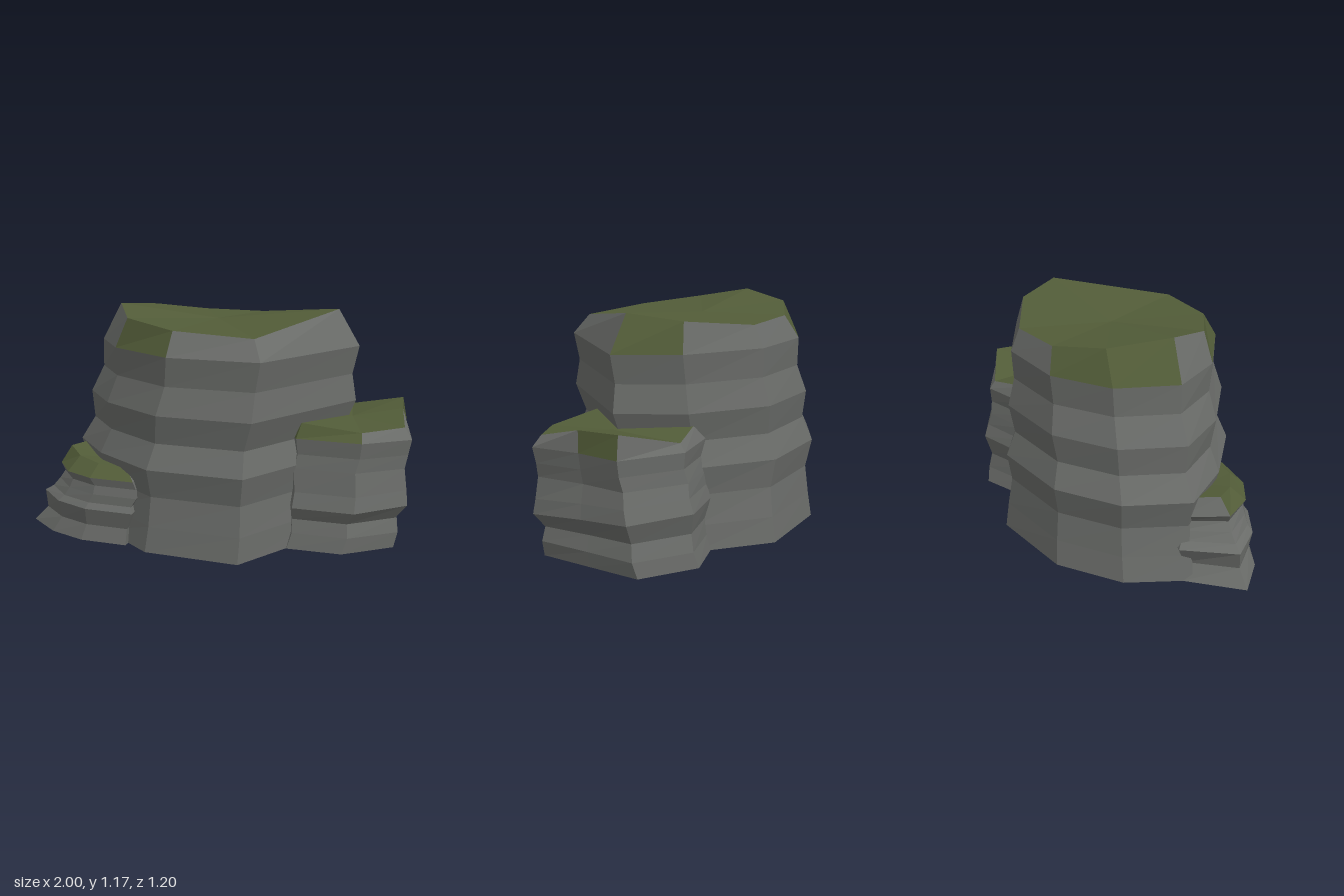
import * as THREE from 'three';

const stone = new THREE.MeshStandardMaterial({ color: 0x6a6c69, flatShading: true, roughness: 1 });
const moss = new THREE.MeshStandardMaterial({ color: 0x525c38, flatShading: true, roughness: 1 });

function meshFrom(name, positions, material) {
  const geometry = new THREE.BufferGeometry();
  geometry.setAttribute('position', new THREE.Float32BufferAttribute(positions.flat(), 3));
  geometry.computeVertexNormals();
  const mesh = new THREE.Mesh(geometry, material);
  mesh.name = name;
  return mesh;
}

// Layered rock: outlines run front, right, back, left.
// base and shoulder are [x, z]; rim is [x, y, z];
// strata are [height, bulge, sideways shift, rise towards the back].
function rock({ name, base, shoulder, rim, top, strata, mossy }) {
  const n = base.length;
  const mid = (list, k) => list.reduce((sum, p) => sum + p[k], 0) / n;
  const rings = strata.map(([y, bulge, shift = 0, rise = 0]) => {
    const t = y / top;
    const cx = THREE.MathUtils.lerp(mid(base, 0), mid(shoulder, 0), t);
    const cz = THREE.MathUtils.lerp(mid(base, 1), mid(shoulder, 1), t);
    return base.map(([x, z], i) => [
      cx + (THREE.MathUtils.lerp(x, shoulder[i][0], t) - cx) * bulge + shift,
      y - z * rise,
      cz + (THREE.MathUtils.lerp(z, shoulder[i][1], t) - cz) * bulge,
    ]);
  });
  rings.push(rim);

  const sides = [], green = [];
  for (let r = 0; r < rings.length - 1; r++) {
    for (let i = 0; i < n; i++) {
      const j = (i + 1) % n;
      const [a, b, c, d] = [rings[r][i], rings[r][j], rings[r + 1][j], rings[r + 1][i]];
      const target = r === rings.length - 2 && mossy.includes(i) ? green : sides;
      target.push(a, b, c, a, c, d);
    }
  }
  // Dished mossy top and flat underside
  const heart = [mid(rim, 0), mid(rim, 1) - 0.02, mid(rim, 2)];
  const foot = [mid(base, 0), 0, mid(base, 1)];
  for (let i = 0; i < n; i++) {
    const j = (i + 1) % n;
    green.push(heart, rim[i], rim[j]);
    sides.push(foot, rings[0][j], rings[0][i]);
  }
  const group = new THREE.Group();
  group.name = name;
  group.add(meshFrom(name + 'Strata', sides, stone), meshFrom(name + 'MossTop', green, moss));
  return group;
}

export function createModel() {
  const model = new THREE.Group();
  model.name = 'rockFormation';

  // Tall central rock
  model.add(rock({
    name: 'mainRock', top: 0.98, mossy: [2, 5, 6, 8],
    base: [[-0.24, 0.57], [0.25, 0.6], [0.65, -0.1], [0.41, -0.39], [0.05, -0.6],
      [-0.42, -0.49], [-0.7, -0.25], [-0.82, 0.07], [-0.57, 0.32]],
    shoulder: [[-0.13, 0.53], [0.34, 0.535], [0.69, -0.1], [0.47, -0.36], [0.07, -0.525],
      [-0.31, -0.46], [-0.57, -0.25], [-0.66, 0.06], [-0.48, 0.32]],
    rim: [[-0.12, 1.1, 0.46], [0.29, 1.08, 0.465], [0.58, 1.165, -0.1], [0.43, 1.13, -0.33], [0.08, 1.09, -0.475],
      [-0.24, 1.1, -0.42], [-0.47, 1.14, -0.24], [-0.55, 1.175, 0.07], [-0.42, 1.13, 0.3]],
    strata: [[0, 1], [0.13, 0.985], [0.28, 0.965, -0.01], [0.425, 1.03, -0.03], [0.55, 0.955, -0.02],
      [0.695, 1.02, -0.015], [0.835, 0.965], [0.98, 1]],
  }));

  // Mid-height rock on the left
  model.add(rock({
    name: 'leftRock', top: 0.56, mossy: [0, 3, 7],
    base: [[0.42, 0.31], [0.7, 0.31], [0.93, 0.13], [0.89, -0.15], [0.85, -0.42],
      [0.56, -0.54], [0.33, -0.42], [0.3, 0]],
    shoulder: [[0.45, 0.26], [0.78, 0.27], [1, 0.11], [0.93, -0.13], [0.91, -0.36],
      [0.6, -0.49], [0.32, -0.38], [0.3, 0]],
    rim: [[0.47, 0.635, 0.23], [0.77, 0.605, 0.23], [0.96, 0.615, 0.09], [0.92, 0.665, -0.12], [0.89, 0.675, -0.35],
      [0.6, 0.6, -0.46], [0.36, 0.64, -0.35], [0.35, 0.64, 0]],
    strata: [[0, 1], [0.08, 0.98, 0.015], [0.155, 0.95, 0, 0.02], [0.235, 1.04, 0.02, 0.07],
      [0.31, 1.0, 0.015, 0.06], [0.41, 0.98, -0.005], [0.48, 0.965, 0.005], [0.56, 1]],
  }));

  // Low, stepped rock on the right
  model.add(rock({
    name: 'rightRock', top: 0.33, mossy: [0, 1, 5],
    base: [[-0.82, 0.42], [-0.62, 0.5], [-0.37, 0.51], [-0.37, 0.1], [-0.8, 0.02], [-1, 0.27]],
    shoulder: [[-0.73, 0.4], [-0.57, 0.48], [-0.33, 0.49], [-0.37, 0.1], [-0.75, 0.03], [-0.84, 0.25]],
    rim: [[-0.69, 0.4, 0.33], [-0.55, 0.39, 0.41], [-0.39, 0.38, 0.42], [-0.4, 0.4, 0.1],
      [-0.72, 0.42, 0.03], [-0.79, 0.42, 0.22]],
    strata: [[0, 1], [0.08, 0.92, 0.015], [0.17, 1.07], [0.2, 0.98, 0.01], [0.245, 0.99, 0.03],
      [0.29, 0.95, 0.03], [0.33, 1]],
  }));

  return model;
}
